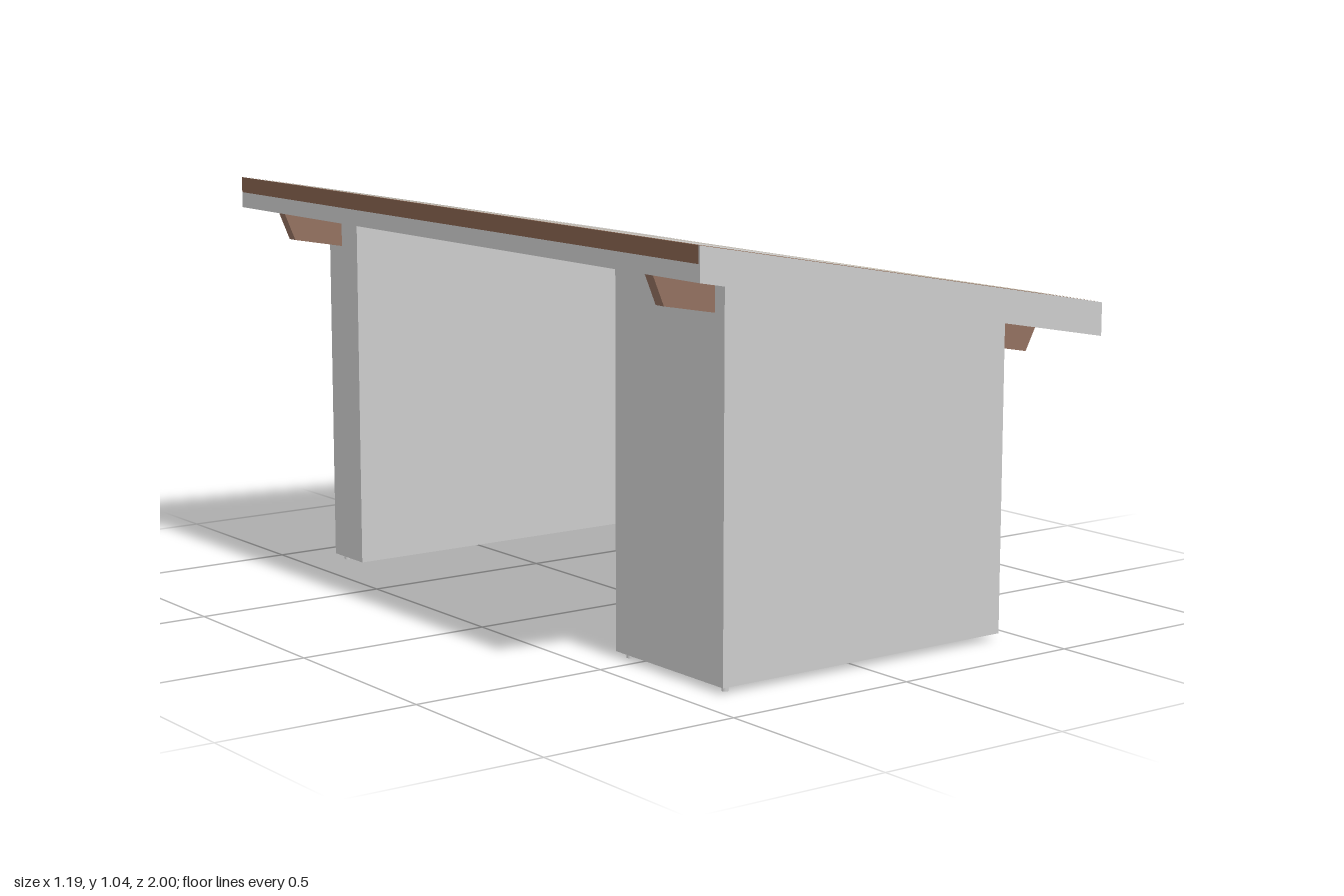
import * as THREE from 'three';

const paint = (color) => new THREE.MeshStandardMaterial({ color, side: THREE.DoubleSide });
const GREY = paint(0xcccccc), EDGE = paint(0x84604c), BEAM = paint(0x92705f);
const MAIN = paint(0xbdb7ae), DARK = paint(0xa7a297), TAN = paint(0xc7bdaa);

const X = 0.596, THICK = 0.08;
const topY = (x) => 0.932 - 0.18 * x; // sloping top surface
const underY = (x) => topY(x) - THICK;

export function createModel() {
  const model = new THREE.Group();

  const add = (name, geometry, material, parent = model) => {
    const mesh = new THREE.Mesh(geometry, material);
    mesh.name = name;
    parent.add(mesh);
    return mesh;
  };

  // Outline in x, y extruded from z0 to z1
  const prism = (name, points, z0, z1, material, parent) => {
    const shape = new THREE.Shape(points.map(([x, y]) => new THREE.Vector2(x, y)));
    const geometry = new THREE.ExtrudeGeometry(shape, { depth: z1 - z0, bevelEnabled: false });
    return add(name, geometry.translate(0, 0, z0), material, parent);
  };

  // Sloped layer lying between two depths below the top surface
  const layer = (name, x0, x1, upper, lower, z0, z1, material) => prism(name, [
    [x0, topY(x0) - lower], [x1, topY(x1) - lower],
    [x1, topY(x1) - upper], [x0, topY(x0) - upper],
  ], z0, z1, material);

  // Table top: grey base, brown core, grey trim on the front and the low edge
  const TRIM = 0.006;
  layer('topBase', -X, X, 0.04, THICK, -1, 1, GREY);
  layer('topCore', -X, X - TRIM, 0, 0.04, -1, 1 - TRIM, EDGE);
  layer('frontTrim', -X, X, 0, 0.04, 1 - TRIM, 1, GREY);
  layer('lowEdgeTrim', X - TRIM, X, 0, 0.04, -1, 1 - TRIM, GREY);

  // Flat veneer outlined in x, z and laid on the slope
  const veneer = (name, points, material, lift) => {
    const shape = new THREE.Shape(points.map(([x, z]) => new THREE.Vector2(x, -z)));
    const geometry = new THREE.ShapeGeometry(shape).rotateX(-Math.PI / 2);
    const p = geometry.attributes.position;
    for (let i = 0; i < p.count; i++) p.setY(i, topY(p.getX(i)) + lift);
    geometry.computeVertexNormals();
    add(name, geometry, material);
  };
  const rect = (x0, x1, z0, z1) => [[x0, z1], [x1, z1], [x1, z0], [x0, z0]];
  veneer('mainVeneer', rect(-X, X, -1, 1), MAIN, 0.001);
  veneer('darkVeneer', rect(-X, 0, -1, -0.5), DARK, 0.002);
  veneer('backGreyVeneer', rect(0.3, X, -1, -0.5), GREY, 0.002);
  veneer('frontGreyVeneer', rect(-X, 0, 0.5, 1), GREY, 0.002);
  veneer('tanVeneer', [[0, 1], [X, 1], [0.3, 0.55], [0.3, 0.5], [0, 0.5]], TAN, 0.002);

  // Pedestals: hollow, open below, with a beam, a diagonal brace and small feet
  const L = -0.405, R = 0.437, FLOOR = 0.015, T = 0.01;
  const pedestal = (name, z0, z1, beamZ, feetZ) => {
    const group = new THREE.Group();
    group.name = name;
    model.add(group);
    const panel = (part, x0, x1, za, zb) => prism(part, [
      [x0, FLOOR], [x1, FLOOR], [x1, underY(x1)], [x0, underY(x0)],
    ], za, zb, GREY, group);
    panel('frontPanel', L, R, z1 - T, z1);
    panel('backPanel', L, R, z0, z0 + T);
    panel('highSidePanel', L, L + T, z0 + T, z1 - T);
    panel('lowSidePanel', R - T, R, z0 + T, z1 - T);

    prism('supportBeam', [
      [-0.545, 0.885], [0.54, 0.69], [0.572, underY(0.572)], [-0.575, underY(-0.575)],
    ], beamZ, beamZ + 0.03, BEAM, group);

    prism('diagonalBrace', [
      [L + T, 0.08], [R - T, 0.72], [R - T, 0.765], [L + T, 0.125],
    ], z1 - T - 0.02, z1 - T, BEAM, group);

    for (const z of feetZ) {
      const foot = add('foot', new THREE.CylinderGeometry(0.008, 0.008, 0.03, 16), GREY, group);
      foot.position.set(-0.38, 0.015, z);
    }
  };
  pedestal('frontPedestal', 0.43, 0.84, 0.775, [0.815, 0.452]);
  pedestal('backPedestal', -0.872, -0.732, -0.84, [-0.852]);

  return model;
}
